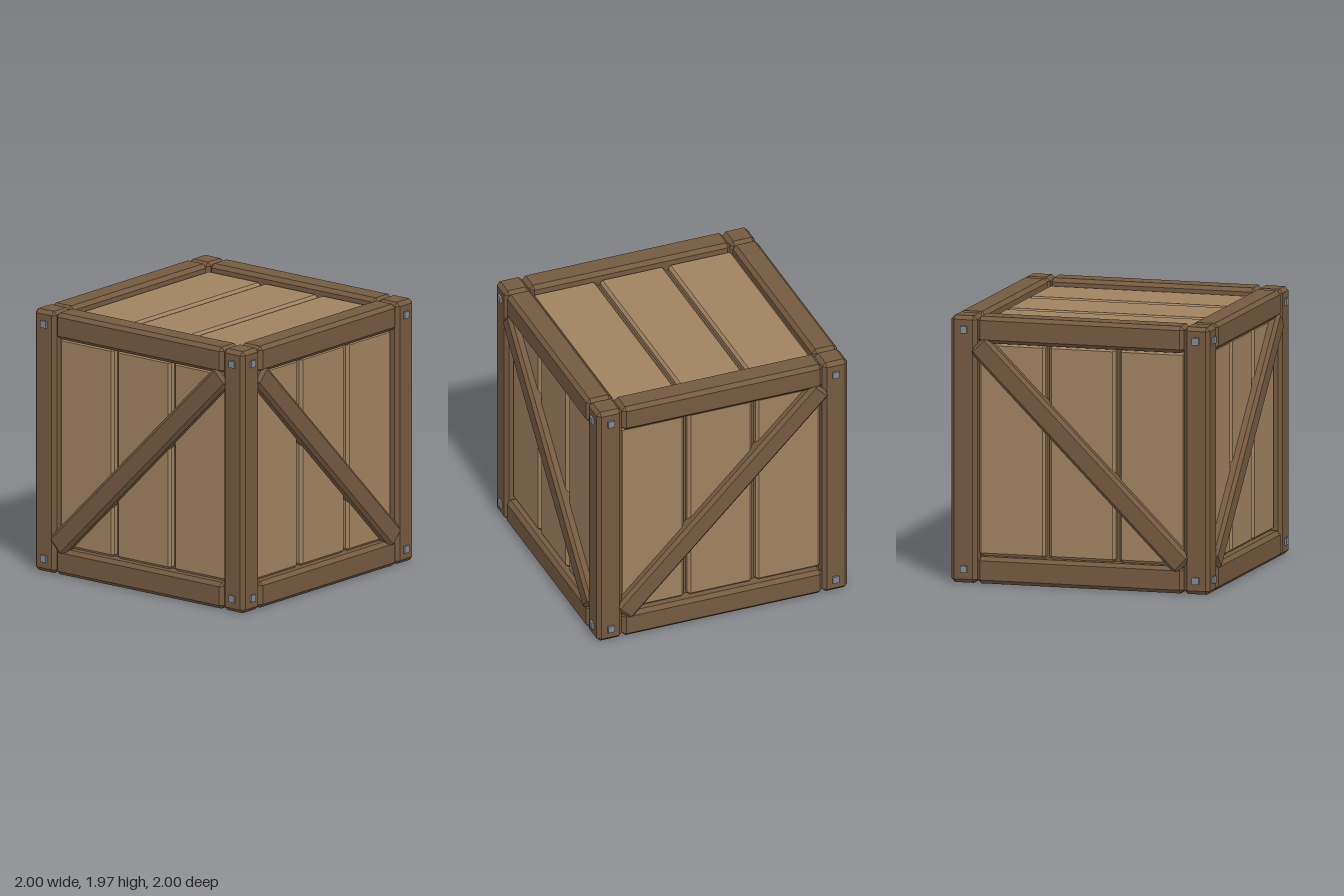
import * as THREE from 'three';
import { ConvexGeometry } from 'three/addons/geometries/ConvexGeometry.js';

const HALF = 0.985;          // half size of the frame
const BEAM = 0.198;          // thickness of posts and rails
const EDGE = HALF - BEAM / 2; // centre line of posts and rails

// Box with flat chamfers on all edges and corners
function chamferBox(w, h, d, c) {
  const points = [];
  const [x, y, z] = [w / 2, h / 2, d / 2];
  for (const sx of [-1, 1]) for (const sy of [-1, 1]) for (const sz of [-1, 1]) {
    points.push(
      new THREE.Vector3(sx * x, sy * (y - c), sz * (z - c)),
      new THREE.Vector3(sx * (x - c), sy * y, sz * (z - c)),
      new THREE.Vector3(sx * (x - c), sy * (y - c), sz * z)
    );
  }
  return new ConvexGeometry(points);
}

export function createModel() {
  const frameWood = new THREE.MeshStandardMaterial({ color: 0x745a40 });
  frameWood.name = 'frame wood';
  const boardWood = new THREE.MeshStandardMaterial({ color: 0xa08260 });
  boardWood.name = 'board wood';
  const steel = new THREE.MeshStandardMaterial({ color: 0x858a91 });
  steel.name = 'bolt steel';

  const crate = new THREE.Group();
  crate.name = 'crate';
  const body = new THREE.Group();
  body.name = 'body';
  body.position.y = HALF;
  crate.add(body);

  function add(parent, name, geometry, material, x, y, z) {
    const mesh = new THREE.Mesh(geometry, material);
    mesh.name = name;
    mesh.position.set(x, y, z);
    parent.add(mesh);
    return mesh;
  }

  // Core seen in the gaps between boards and underneath
  add(body, 'core', new THREE.BoxGeometry(1.76, 1.76, 1.76), frameWood, 0, 0, 0);

  // Corner posts and the rails between them
  const railLength = 2 * (HALF - BEAM);
  const post = chamferBox(BEAM, 2 * HALF, BEAM, 0.028);
  const railX = chamferBox(railLength, BEAM, BEAM, 0.028);
  const railZ = chamferBox(BEAM, BEAM, railLength, 0.028);
  for (const a of [-EDGE, EDGE]) for (const b of [-EDGE, EDGE]) {
    add(body, 'cornerPost', post, frameWood, a, 0, b);
    add(body, 'crossRail', railX, frameWood, 0, a, b);
    add(body, 'sideRail', railZ, frameWood, a, b, 0);
  }

  const board = chamferBox(0.505, 1.572, 0.09, 0.02);
  const brace = chamferBox(2.22, 0.17, 0.12, 0.025);
  const bolt = new THREE.BoxGeometry(0.052, 0.052, 0.04);

  function addBoards(panel) {
    for (const i of [-1, 0, 1]) add(panel, 'board', board, boardWood, i * 0.535, 0, 0.885);
  }

  // Four sides; the brace direction alternates from one side to the next
  ['front', 'left', 'back', 'right'].forEach((side, i) => {
    const panel = new THREE.Group();
    panel.name = side + 'Panel';
    panel.rotation.y = i * Math.PI / 2;
    body.add(panel);
    addBoards(panel);
    add(panel, 'diagonalBrace', brace, frameWood, 0, 0, 0.938)
      .rotation.z = (i % 2 ? -1 : 1) * Math.PI / 4;
    for (const x of [-0.883, 0.883]) for (const y of [-0.883, 0.883]) {
      add(panel, 'bolt', bolt, steel, x, y, 0.98);
    }
  });

  // Lid boards
  const lid = new THREE.Group();
  lid.name = 'lid';
  lid.rotation.x = -Math.PI / 2;
  body.add(lid);
  addBoards(lid);

  return crate;
}
